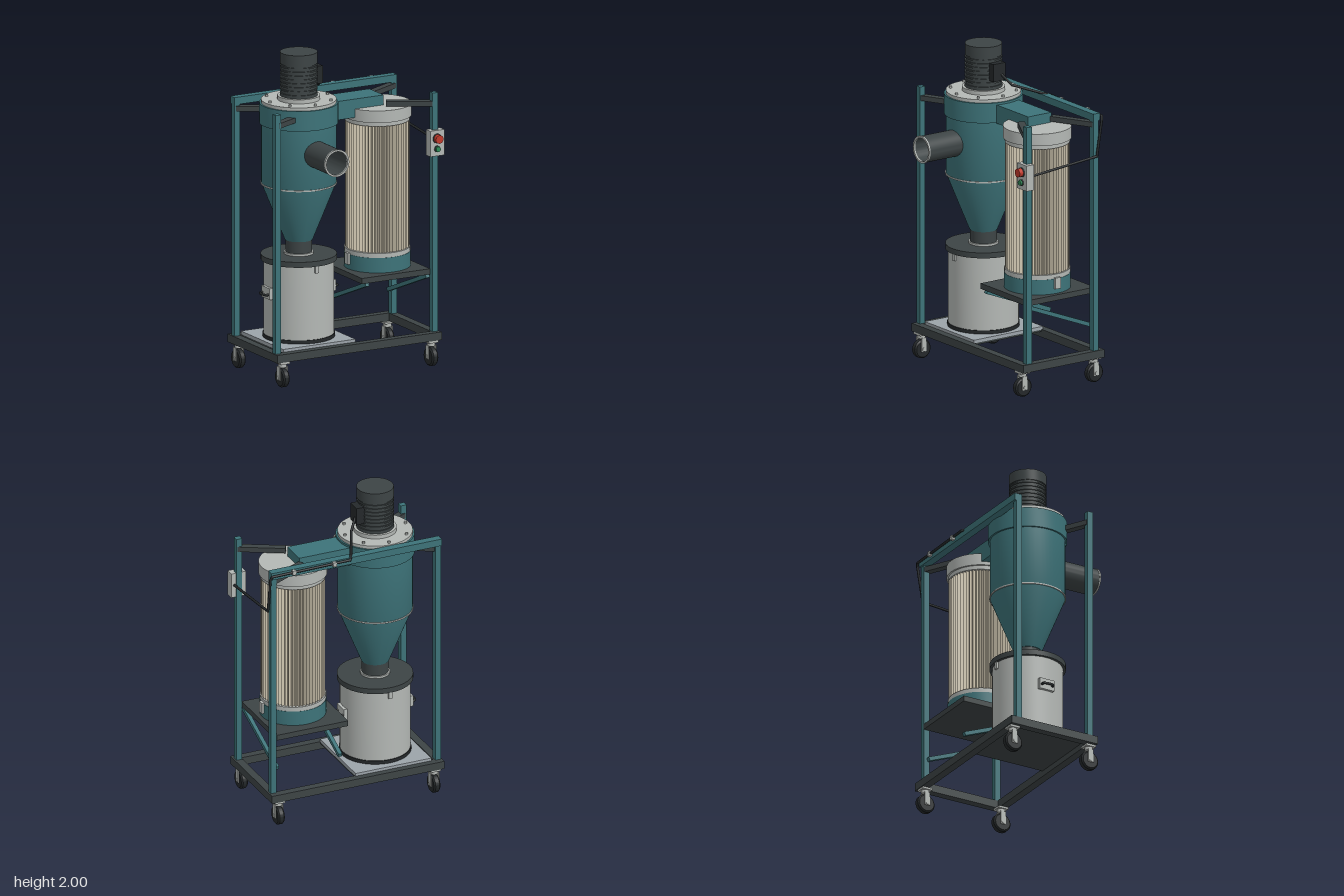
import * as THREE from 'three';
import { toCreasedNormals } from 'three/addons/utils/BufferGeometryUtils.js';

const mat = (color) => new THREE.MeshStandardMaterial({ color });
const TEAL = mat(0x3d7379), DARK = mat(0x3d4445), BLACK = mat(0x24282a), LIGHT = mat(0xb4b8b5),
  PLATE = mat(0x9ca4aa), PAPER = mat(0xcfc6b0), RED = mat(0xc0392b), GREEN = mat(0x2e8b57);
const CX = -0.262, CZ = -0.072; // cyclone axis
const FX = 0.286, FZ = -0.075;  // filter axis

export function createModel() {
  const model = new THREE.Group();

  const add = (name, geo, material, x = 0, y = 0, z = 0, parent = model) => {
    const mesh = new THREE.Mesh(geo, material);
    mesh.name = name;
    mesh.position.set(x, y, z);
    parent.add(mesh);
    return mesh;
  };
  // box given by its limits
  const box = (name, material, x0, x1, y0, y1, z0, z1, parent) =>
    add(name, new THREE.BoxGeometry(x1 - x0, y1 - y0, z1 - z0), material,
      (x0 + x1) / 2, (y0 + y1) / 2, (z0 + z1) / 2, parent);
  // turned part from [radius, height] pairs, bottom to top
  const turn = (name, material, x, z, pts, parent) =>
    add(name, toCreasedNormals(new THREE.LatheGeometry(
      pts.map(([r, y]) => new THREE.Vector2(r, y)), 56), 0.6), material, x, 0, z, parent);
  const disc = (name, material, x, z, r, y0, y1, parent) =>
    turn(name, material, x, z, [[0, y0], [r, y0], [r, y1], [0, y1]], parent);
  // square bar between two points
  const bar = (name, material, a, b, w, h) => {
    const p = new THREE.Vector3(...a), q = new THREE.Vector3(...b);
    const mesh = add(name, new THREE.BoxGeometry(w, h, p.distanceTo(q)), material);
    mesh.position.copy(p).add(q).multiplyScalar(0.5);
    mesh.lookAt(q);
    return mesh;
  };

  // base frame
  for (const [z0, z1] of [[0.18, 0.23], [-0.375, -0.325]])
    box('baseRail', DARK, -0.584, 0.562, 0.16, 0.21, z0, z1);
  for (const x of [-0.584, 0.512])
    box('baseEndRail', DARK, x, x + 0.05, 0.16, 0.21, -0.325, 0.18);
  box('barrelPlate', PLATE, -0.515, -0.012, 0.208, 0.228, -0.335, 0.182);
  box('barrelPlateUnderside', DARK, -0.513, -0.014, 0.196, 0.208, -0.325, 0.18);

  // posts, top bar and corner braces
  for (const x of [-0.578, 0.515]) {
    box('frontPost', TEAL, x, x + 0.038, 0.21, 1.7, 0.161, 0.2);
    box('backPost', TEAL, x, x + 0.038, 0.21, 1.66, -0.338, -0.3);
  }
  box('topBar', TEAL, -0.578, 0.553, 1.655, 1.7, -0.35, -0.3);
  for (const [a, b] of [
    [[-0.56, 1.63, 0.18], [-0.4, 1.63, 0.1]], [[-0.56, 1.63, -0.315], [-0.4, 1.63, -0.225]],
    [[0.535, 1.632, 0.18], [0.28, 1.632, 0.042]], [[0.535, 1.632, -0.318], [0.28, 1.632, -0.188]],
  ]) bar('cornerBrace', DARK, a, b, 0.045, 0.032);

  // casters
  for (const x of [-0.53, 0.505]) for (const z of [0.197, -0.337]) {
    const caster = new THREE.Group();
    caster.name = 'caster';
    caster.position.set(x, 0, z);
    model.add(caster);
    box('casterPlate', LIGHT, -0.033, 0.033, 0.147, 0.16, -0.033, 0.033, caster);
    disc('casterSwivel', LIGHT, 0, 0, 0.025, 0.125, 0.148, caster);
    for (const s of [-1, 1]) {
      const fork = box('casterFork', LIGHT, -0.003, 0.003, 0.045, 0.13, -0.018, 0.018, caster);
      fork.position.x = s * 0.026;
    }
    const wheel = new THREE.Group();
    wheel.name = 'wheel';
    wheel.position.y = 0.059;
    wheel.rotation.z = Math.PI / 2;
    caster.add(wheel);
    turn('tyre', BLACK, 0, 0, [[0, -0.022], [0.05, -0.022], [0.059, -0.013], [0.059, 0.013],
      [0.05, 0.022], [0, 0.022]], wheel);
    disc('axle', LIGHT, 0, 0, 0.012, -0.033, 0.033, wheel);
  }

  // collection barrel
  disc('barrelBottomRim', BLACK, CX, CZ, 0.219, 0.228, 0.25);
  disc('barrel', LIGHT, CX, CZ, 0.214, 0.25, 0.71);
  disc('barrelLid', DARK, CX, CZ, 0.231, 0.708, 0.742);
  for (const s of [-1, 1]) {
    const x = CX + s * 0.217;
    box('handlePlate', LIGHT, x - 0.014, x + 0.014, 0.488, 0.558, CZ - 0.05, CZ + 0.05);
    const path = new THREE.CatmullRomCurve3([[0, -0.036], [0.03, -0.034], [0.037, -0.02],
      [0.037, 0.02], [0.03, 0.034], [0, 0.036]].map(([o, z]) =>
      new THREE.Vector3(x + s * o, 0.517, CZ + z)));
    add('handle', new THREE.TubeGeometry(path, 24, 0.008, 8), BLACK);
    box('lidClip', LIGHT, CX - 0.012, CX + 0.012, 0.665, 0.715,
      CZ + s * 0.217 - 0.01, CZ + s * 0.217 + 0.01);
  }

  // cyclone
  disc('neckRing', LIGHT, CX, CZ, 0.09, 0.742, 0.755);
  disc('neck', DARK, CX, CZ, 0.081, 0.75, 0.835);
  turn('cycloneBody', TEAL, CX, CZ, [[0, 0.83], [0.085, 0.83], [0.228, 1.185], [0.228, 1.56],
    [0.239, 1.56], [0.239, 1.685], [0, 1.685]]);
  disc('cycloneSeam', LIGHT, CX, CZ, 0.232, 1.18, 1.189);
  disc('topFlange', LIGHT, CX, CZ, 0.228, 1.685, 1.705);
  for (let i = 0; i < 8; i++) {
    const a = i * Math.PI / 4;
    add('flangeBolt', new THREE.CylinderGeometry(0.009, 0.009, 0.014, 6), LIGHT,
      CX + 0.201 * Math.cos(a), 1.711, CZ + 0.201 * Math.sin(a));
  }

  // inlet pipe, open to the front
  const inlet = new THREE.Group();
  inlet.name = 'inlet';
  inlet.position.set(CX, 1.405, CZ);
  inlet.rotation.x = Math.PI / 2;
  model.add(inlet);
  turn('inletPipe', DARK, 0, 0, [[0.082, 0.15], [0.082, 0.46], [0.074, 0.46], [0.074, 0.15]], inlet);
  turn('inletRim', LIGHT, 0, 0, [[0.073, 0.457], [0.085, 0.457], [0.085, 0.467], [0.073, 0.467],
    [0.073, 0.457]], inlet);

  // motor with cooling ribs
  disc('motorBase', LIGHT, CX, CZ, 0.13, 1.705, 1.73);
  disc('motorFoot', DARK, CX, CZ, 0.114, 1.73, 1.75);
  disc('motorBody', DARK, CX, CZ, 0.107, 1.75, 1.985);
  for (let i = 0; i < 7; i++)
    disc('motorRib', DARK, CX, CZ, 0.114, 1.768 + i * 0.024, 1.777 + i * 0.024);
  disc('motorCap', DARK, CX, CZ, 0.113, 1.93, 2);
  box('motorTerminalBox', BLACK, -0.165, -0.114, 1.79, 1.9, -0.128, -0.038);

  // duct from cyclone to filter
  box('duct', TEAL, CX + 0.15, 0.29, 1.556, 1.672, -0.177, -0.004);

  // filter cartridge with pleated paper
  box('filterPlatform', DARK, 0.04, 0.515, 0.562, 0.597, -0.34, 0.17);
  disc('filterBase', TEAL, FX, FZ, 0.202, 0.597, 0.69);
  disc('filterLowerBand', LIGHT, FX, FZ, 0.2, 0.69, 0.718);
  const pleats = new THREE.Shape();
  const N = 56;
  for (let i = 0; i < N * 2; i++) {
    const a = i * Math.PI / N, r = i % 2 ? 0.174 : 0.195;
    pleats[i ? 'lineTo' : 'moveTo'](r * Math.cos(a), r * Math.sin(a));
  }
  pleats.closePath();
  const paper = add('filterPleats', new THREE.ExtrudeGeometry(pleats,
    { depth: 0.8, bevelEnabled: false }), PAPER, FX, 0.715, FZ);
  paper.rotation.x = -Math.PI / 2;
  disc('filterUpperBand', LIGHT, FX, FZ, 0.197, 1.51, 1.537);
  disc('filterCap', LIGHT, FX, FZ, 0.208, 1.535, 1.61);
  for (const s of [-1, 1]) {
    const x = FX + s * 0.206;
    box('filterLatch', LIGHT, x - 0.009, x + 0.009, 0.628, 0.698, FZ - 0.02, FZ + 0.02);
  }
  for (const x of [0.082, 0.502])
    bar('platformStrut', TEAL, [x, 0.553, 0.16], [x, 0.362, -0.315], 0.025, 0.025);

  // control box on the front right post
  box('switchBox', LIGHT, 0.486, 0.584, 1.31, 1.47, 0.168, 0.222);
  for (const [name, m, r, y, z] of [['stopButton', RED, 0.026, 1.42, 0.255], ['startButton', GREEN, 0.016, 1.355, 0.24]]) {
    const collar = add('buttonCollar', new THREE.CylinderGeometry(r + 0.004, r + 0.004, 0.008, 24), DARK, 0.533, y, 0.224);
    const button = add(name, new THREE.CylinderGeometry(r, r, z - 0.22, 24), m, 0.533, y, (z + 0.22) / 2);
    collar.rotation.x = button.rotation.x = Math.PI / 2;
  }

  // power cable along the top bar and down to the control box
  const cable = new THREE.CurvePath();
  const pts = [[-0.118, 1.83, -0.1], [-0.07, 1.765, -0.145], [0.01, 1.703, -0.315], [0.035, 1.69, -0.36],
    [0.555, 1.682, -0.36], [0.564, 1.66, -0.355], [0.564, 1.435, -0.318], [0.564, 1.392, 0.17]]
    .map((p) => new THREE.Vector3(...p));
  for (let i = 1; i < pts.length; i++) {
    cable.add(new THREE.LineCurve3(pts[i - 1], pts[i]));
    if (i < pts.length - 1) add('cableBend', new THREE.SphereGeometry(0.008, 10, 8), BLACK, ...pts[i].toArray());
  }
  for (const segment of cable.curves)
    add('cable', new THREE.TubeGeometry(segment, 1, 0.008, 8), BLACK);
  for (const x of [0.14, 0.41])
    box('cableClip', LIGHT, x - 0.011, x + 0.011, 1.67, 1.698, -0.371, -0.349);

  return model;
}
